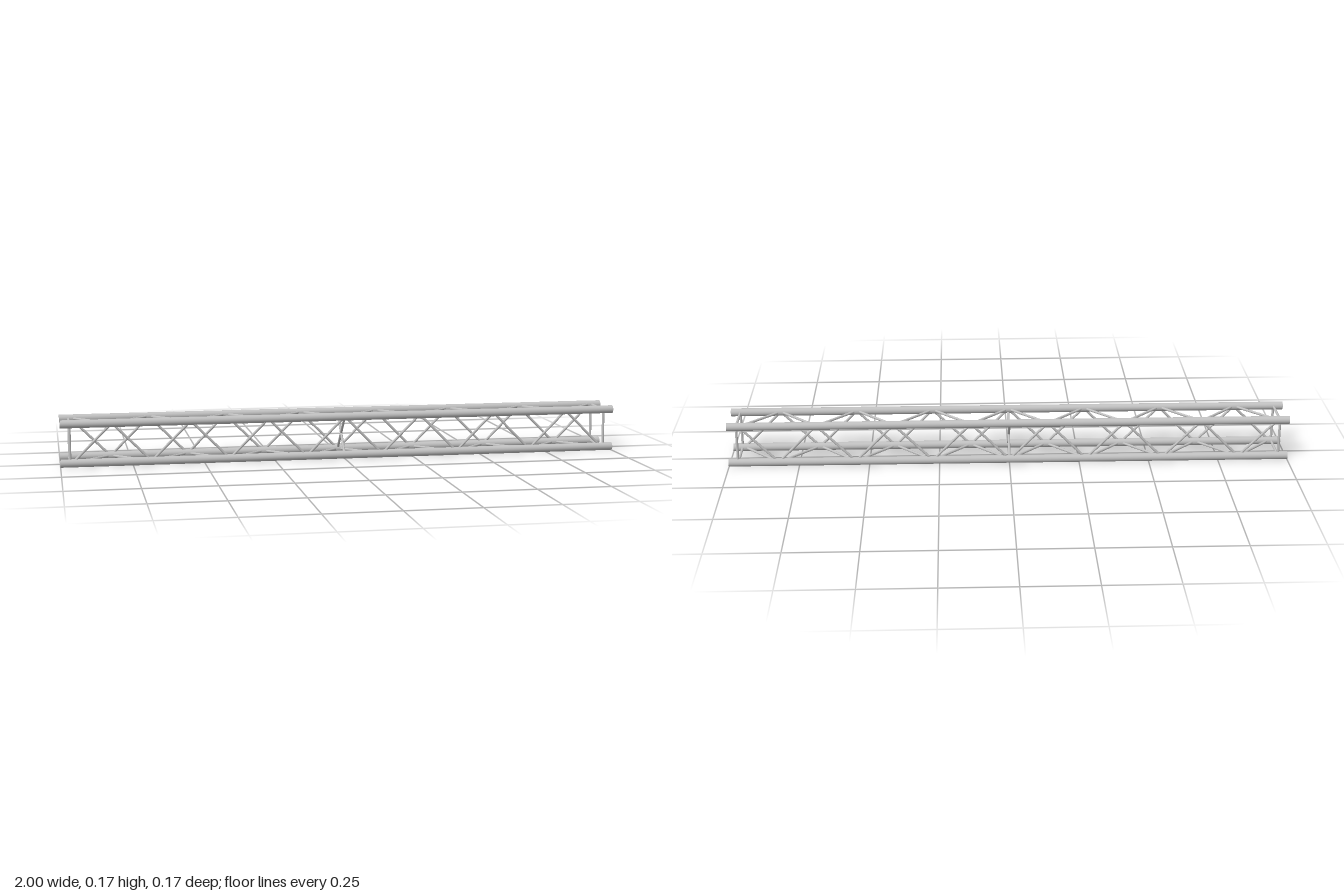
import * as THREE from 'three';

const HALF = 0.0686;        // half the spacing between chord axes
const CHORD_R = 0.0143;
const BRACE_R = 0.0045;
const MID_Y = HALF + CHORD_R;
const BAYS = 14, BAY = 0.137, END_X = 0.967;

export function createModel() {
  const model = new THREE.Group();
  model.name = 'boxTruss';
  const aluminium = new THREE.MeshStandardMaterial({ color: 0xc0c0c0 });
  aluminium.name = 'aluminium';

  // Point on a chord axis; sy and sz pick the corner
  const corner = (x, sy, sz) => new THREE.Vector3(x, MID_Y + sy * HALF, sz * HALF);

  // Round bar between two points
  function bar(name, a, b, radius, sides, open, parent) {
    const dir = b.clone().sub(a);
    const geometry = new THREE.CylinderGeometry(radius, radius, dir.length(), sides, 1, open);
    const mesh = new THREE.Mesh(geometry, aluminium);
    mesh.name = name;
    mesh.position.copy(a).add(b).multiplyScalar(0.5);
    mesh.quaternion.setFromUnitVectors(new THREE.Vector3(0, 1, 0), dir.normalize());
    parent.add(mesh);
  }

  function group(name) {
    const g = new THREE.Group();
    g.name = name;
    model.add(g);
    return g;
  }

  // Corners in order around the section: [sy, sz]
  const corners = [[1, 1], [-1, 1], [-1, -1], [1, -1]];
  const faces = ['front', 'bottom', 'back', 'top'];

  // Four main chords
  const chords = group('chords');
  for (const [sy, sz] of corners) {
    bar('chord', corner(-1, sy, sz), corner(1, sy, sz), CHORD_R, 32, false, chords);
  }

  // Each face: zigzag lacing plus a straight strut at both ends
  corners.forEach((c, i) => {
    const d = corners[(i + 1) % 4];
    const face = group(faces[i] + 'Lacing');
    // Neighbouring chords take the odd and even nodes in turn
    const [odd, even] = i % 2 === 0 ? [c, d] : [d, c];
    for (let n = 0; n < BAYS; n++) {
      const x = (n - BAYS / 2) * BAY;
      const from = n % 2 ? odd : even;
      const to = n % 2 ? even : odd;
      bar('diagonalBrace', corner(x, ...from), corner(x + BAY, ...to), BRACE_R, 14, true, face);
    }
    for (const x of [-END_X, END_X]) {
      bar('endStrut', corner(x, ...c), corner(x, ...d), BRACE_R, 14, true, face);
    }
  });

  // Inner cross at mid span
  const cross = group('middleCross');
  for (const s of [-1, 1]) {
    bar('crossBrace', corner(0, 1, s), corner(0, -1, -s), BRACE_R, 14, true, cross);
  }

  return model;
}
